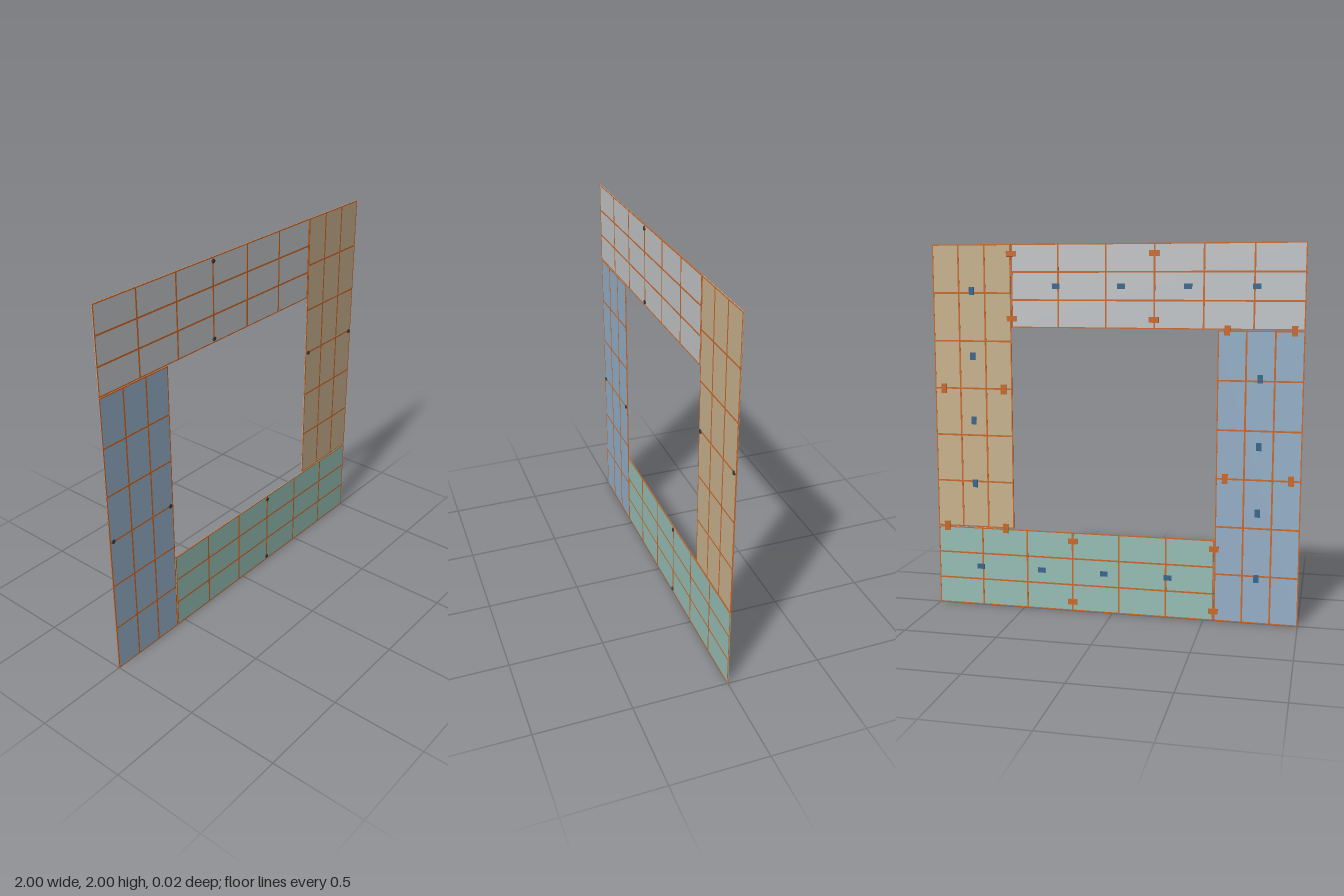
import * as THREE from 'three';

const mat = (name, color) => {
  const m = new THREE.MeshStandardMaterial({ color });
  m.name = name;
  return m;
};

export function createModel() {
  const model = new THREE.Group();
  model.name = 'panelFrame';

  const panelMats = [
    mat('paleGrey', 0xc3c6c9),
    mat('sand', 0xcab48f),
    mat('seaGreen', 0x98c0b6),
    mat('slateBlue', 0x96b0c8),
  ];
  const orange = mat('orange', 0xcc6a2a);
  const steelBlue = mat('steelBlue', 0x3a678e);
  const charcoal = mat('charcoal', 0x3c3c3c);

  // One panel's extent, measured from the centre of the square
  const x0 = -1, x1 = 0.553, y0 = 0.557, y1 = 1;
  const cols = 6, rows = 3, rib = 0.009, edge = 0.006;
  const w = x1 - x0, h = y1 - y0, cx = (x0 + x1) / 2, cy = (y0 + y1) / 2;

  const add = (parent, name, geometry, material, x, y, z) => {
    const mesh = new THREE.Mesh(geometry, material);
    mesh.name = name;
    mesh.position.set(x, y, z);
    parent.add(mesh);
  };
  const box = (parent, name, material, sx, sy, sz, x, y, z) =>
    add(parent, name, new THREE.BoxGeometry(sx, sy, sz), material, x, y, z);

  const studGeometry = new THREE.CylinderGeometry(0.011, 0.011, 0.006, 16).rotateX(Math.PI / 2);

  // Four equal panels turn around the open middle like a pinwheel
  panelMats.forEach((panelMat, k) => {
    const side = new THREE.Group();
    side.name = ['topPanel', 'leftPanel', 'bottomPanel', 'rightPanel'][k];
    side.position.y = 1;
    side.rotation.z = -k * Math.PI / 2;
    model.add(side);

    box(side, 'sheet', panelMat, w, h, 0.003, cx, cy, 0);

    // Grid of ribs, with narrower ones along the border
    for (let i = 0; i <= cols; i++) {
      const border = i === 0 || i === cols;
      const t = border ? edge : rib;
      const inset = i === 0 ? t / 2 : i === cols ? -t / 2 : 0;
      box(side, 'crossRib', orange, t, h, 0.005, x0 + w * i / cols + inset, cy, 0);
    }
    for (let j = 0; j <= rows; j++) {
      const border = j === 0 || j === rows;
      const t = border ? edge : rib;
      const inset = j === 0 ? t / 2 : j === rows ? -t / 2 : 0;
      box(side, 'longRib', orange, w, t, 0.0046, cx, y0 + h * j / rows + inset, 0);
    }

    for (const y of [0.605, 0.948]) {
      // Back clips over the middle rib and over the joint to the next panel
      for (const x of [-0.222, x1])
        box(side, 'jointClip', orange, 0.052, 0.03, 0.008, x, y, -0.006);
    }

    // Small pads along the middle of the back
    for (const x of [-0.753, -0.4, -0.047, 0.306])
      box(side, 'backPad', steelBlue, 0.042, 0.028, 0.006, x, cy, -0.005);

    // Front studs at both ends of the middle rib
    for (const y of [0.579, 0.978])
      add(side, 'stud', studGeometry, charcoal, -0.222, y, 0.004);
  });

  return model;
}
